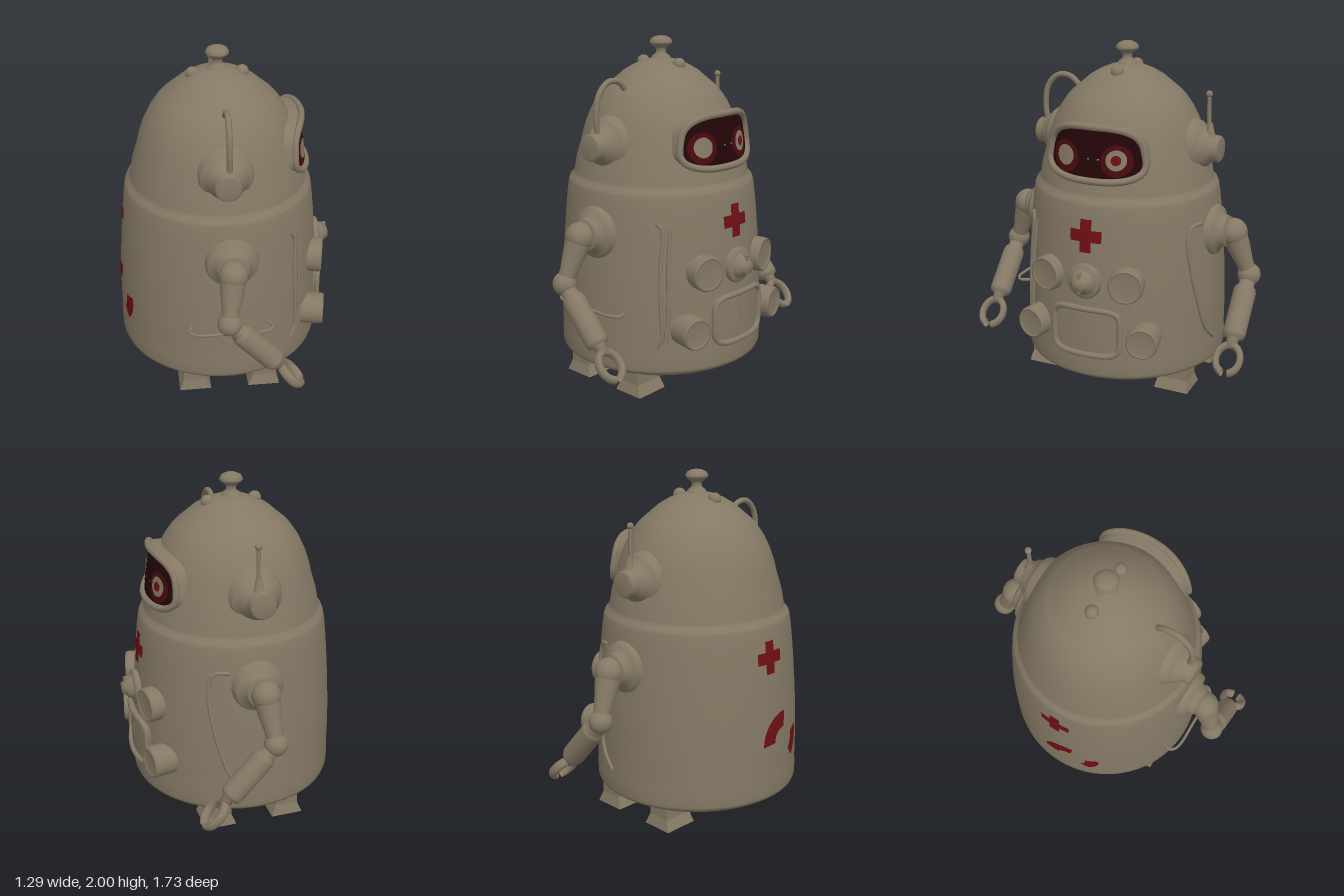
import * as THREE from 'three';

const mat = (name, color, side = THREE.FrontSide) => {
  const m = new THREE.MeshStandardMaterial({ color, side });
  m.name = name;
  return m;
};
const V3 = (x, y, z) => new THREE.Vector3(x, y, z);
const CX = -0.04; // axis of the round body

// Body profile as [radius, height], bottom to top
const BODY = [[0, .05], [.33, .052], [.46, .08], [.56, .125], [.6, .15], [.608, .17], [.605, .2], [.61, .225], [.606, .25],
  [.606, .4], [.603, .55], [.594, .72], [.584, .85], [.573, .98], [.56, 1.1], [.55, 1.165], [.542, 1.185], [.522, 1.205],
  [.515, 1.225], [.5, 1.31], [.472, 1.4], [.455, 1.47], [.427, 1.55], [.39, 1.625], [.348, 1.685], [.32, 1.715],
  [.27, 1.757], [.22, 1.8], [.16, 1.835], [.1, 1.86], [.05, 1.872], [0, 1.875]];

const bodyRadius = y => {
  for (let i = 1; i < BODY.length; i++) {
    const [r0, y0] = BODY[i - 1], [r1, y1] = BODY[i];
    if (y <= y1) return r0 + (r1 - r0) * (y - y0) / (y1 - y0);
  }
  return 0;
};
const visorRadius = y => .51 - .13 * (y - 1.3);

// Point on the curved front (or back) surface: u to the viewer's right, v up, w outwards
const onSurface = (u, v, w, radius, back = false) => {
  const r = radius(v) + w, d = Math.sqrt(r * r - u * u);
  return back ? V3(CX - d, v, u) : V3(CX + d, v, -u);
};
const remap = (geo, rule) => {
  const p = geo.attributes.position;
  for (let i = 0; i < p.count; i++) {
    const q = rule(p.getX(i), p.getY(i), p.getZ(i));
    p.setXYZ(i, q.x, q.y, q.z);
  }
  geo.computeVertexNormals();
  return geo;
};

export function createModel() {
  const root = new THREE.Group();
  root.name = 'robot';
  const shell = mat('shell taupe', 0x857965, THREE.DoubleSide);
  const red = mat('marking red', 0x6e0f14);
  const dark = mat('visor dark', 0x240508);
  const glow = mat('visor glow red', 0x480a0e);

  const add = (name, geo, material = shell) => {
    const m = new THREE.Mesh(geo, material);
    m.name = name;
    root.add(m);
    return m;
  };
  // Turned part standing at pos, its axis along dir
  const turned = (name, profile, pos, dir, seg = 32) => {
    const m = add(name, new THREE.LatheGeometry(profile.map(p => new THREE.Vector2(...p)), seg));
    m.position.copy(pos);
    m.quaternion.setFromUnitVectors(V3(0, 1, 0), dir.clone().normalize());
    return m;
  };
  const tube = (name, pts, r, closed = false, seg = 48) =>
    add(name, new THREE.TubeGeometry(new THREE.CatmullRomCurve3(pts, closed), seg, r, 10, closed));
  const ball = (name, pos, r, sy = 1) => {
    const m = add(name, new THREE.SphereGeometry(r, 24, 16));
    m.position.copy(pos);
    m.scale.y = sy;
    return m;
  };
  const decal = (name, geo, u, v, w, radius, material, back) =>
    add(name, remap(geo, (x, y) => onSurface(u + x, v + y, w, radius, back)), material);

  add('body', new THREE.LatheGeometry(BODY.map(p => new THREE.Vector2(...p)), 72)).position.x = CX;

  // Top knob and two bumps
  turned('topKnob', [[.06, 0], [.05, .02], [.03, .035], [.028, .06], [.04, .07], [.062, .088], [.067, .1],
    [.055, .12], [.03, .132], [0, .135]], V3(CX, 1.865, 0), V3(0, 1, 0));
  for (const s of [-1, 1]) ball('topBump', V3(CX + s * .14, 1.842, 0), .038);

  // Rounded panel with rim and side wall, wrapped on the front
  const panel = (name, cu, cv, hw, hh, n, taper, radius, material, rim, depth) => {
    const outline = (a, k = 1) => {
      const c = Math.cos(a), s = Math.sin(a);
      const y = Math.sign(s) * Math.abs(s) ** (2 / n) * k;
      return [cu + hw * Math.sign(c) * Math.abs(c) ** (2 / n) * k * (1 - taper * y), cv + hh * y];
    };
    add(name, remap(new THREE.RingGeometry(.001, 1, 72, 10), (x, y) =>
      onSurface(...outline(Math.atan2(y, x), Math.hypot(x, y)), 0, radius)), material);
    add(name + 'Wall', remap(new THREE.CylinderGeometry(1, 1, 1, 72, 1, true), (x, y, z) =>
      onSurface(...outline(Math.atan2(z, x), 1.05), (y - .5) * depth, radius)));
    const pts = [];
    for (let i = 0; i < 48; i++) pts.push(onSurface(...outline(i / 48 * Math.PI * 2, 1.02), .006, radius));
    tube(name + 'Rim', pts, rim, true, 120);
  };
  panel('visor', 0, 1.45, .28, .145, 3.2, .1, visorRadius, dark, .02, .12);
  panel('screen', .01, .44, .2, .138, 5, 0, y => bodyRadius(y) + .014, shell, .017, .05);
  tube('screenLine', [onSurface(.01, .4, .015, bodyRadius), onSurface(.01, .49, .015, bodyRadius)], .003, false, 4);

  // Eyes on the visor
  const disc = r => new THREE.RingGeometry(.0005, r, 32, 4);
  for (const u of [-.165, .145]) {
    decal('eyeGlow', disc(.088), u, 1.42, .003, visorRadius, glow);
    decal('eye', disc(.057), u, 1.425, .006, visorRadius, shell);
  }
  decal('pupil', disc(.028), .145, 1.425, .009, visorRadius, red);
  for (const u of [-.045, .015]) decal('visorDot', new THREE.PlaneGeometry(.014, .008), u + .03, 1.425, .005, visorRadius, shell);

  // Crosses on chest and back
  for (const back of [false, true]) {
    decal('crossUpright', new THREE.PlaneGeometry(.068, .19, 4, 8), 0, 1, .004, bodyRadius, red, back);
    for (const s of [-1, 1])
      decal('crossArm', new THREE.PlaneGeometry(.061, .068, 4, 4), s * .0645, 1, .004, bodyRadius, red, back);
  }
  // Curved emblem pieces on the back
  decal('emblemUpper', new THREE.RingGeometry(.075, .17, 20, 3, 1.45, 1.75), .1, .49, .004, bodyRadius, red, true);
  decal('emblemSide', new THREE.RingGeometry(.1, .18, 20, 3, -.85, 1.1), .1, .48, .004, bodyRadius, red, true);

  // Round dials on the front
  const dial = r => [[r, -.13], [r, -.01], [r - .006, .006], [r - .016, .006], [r - .02, -.004], [0, -.004]];
  for (const s of [-1, 1]) {
    turned('upperDial', dial(.102), V3(.555, .74, s * .25), V3(1, 0, s * .25));
    turned('lowerDial', dial(.094), V3(.56, .415, s * .35), V3(1, 0, s * .22));
  }
  turned('centreKnob', [[.104, -.06], [.104, .03], [.094, .042], [.078, .042], [.07, .05], [.06, .075], [.04, .085],
    [.035, .105], [0, .108]], V3(.535, .74, 0), V3(1, 0, 0));
  add('knobPointer', new THREE.BoxGeometry(.03, .12, .018)).position.set(.615, .75, 0);

  // Ears, shoulders, arms and feet on both sides
  for (const s of [-1, 1]) {
    const out = V3(0, 0, s);
    turned('ear', [[.175, -.08], [.15, -.005], [.138, .01], [.115, .02], [.105, .05], [.085, .065], [.078, .085],
      [.076, .115], [.065, .125], [0, .127]], V3(CX, 1.42, s * .46), out);
    turned('shoulder', [[.16, -.04], [.147, .03], [.135, .05], [.1, .058], [.094, .09], [.085, .105], [0, .108]],
      V3(-.02, .94, s * .55), out);

    const shoulder = V3(-.025, .94, s * .68), elbow = V3(-.055, .68, s * .775), wrist = V3(.215, .385, s * .775);
    ball('shoulderJoint', shoulder, .082);
    const upper = elbow.clone().sub(shoulder);
    turned('upperArm', [[.076, 0], [.066, .1], [.05, .2], [.05, upper.length()]], shoulder, upper);
    ball('elbow', elbow, .068);
    const lower = wrist.clone().sub(elbow), L = lower.length();
    turned('forearm', [[.045, 0], [.046, .075], [.06, .09], [.066, .11], [.066, L - .03], [.058, L - .005],
      [.035, L], [.033, L + .05], [0, L + .055]], elbow, lower);

    // Pincer with a narrow gap at the tip
    const d = lower.clone().normalize();
    const claw = add('claw', new THREE.TorusGeometry(.07, .019, 10, 40, Math.PI * 1.84)
      .rotateZ(Math.PI * .58).scale(1, 1.2, 1.5));
    claw.quaternion.setFromRotationMatrix(new THREE.Matrix4().makeBasis(V3(0, 0, 1), d, V3(0, 0, 1).cross(d)));
    claw.position.copy(wrist).addScaledVector(d, .125);

    // Flared feet
    for (const x of [-.232, .185]) {
      const foot = remap(new THREE.BoxGeometry(.19, .14, .21, 1, 2, 1).toNonIndexed(), (a, b, c) => {
        const k = b > -.01 ? .72 : 1;
        return V3(a * k, b === 0 ? -.005 : b, c * (b > -.01 ? .86 : 1));
      });
      add('foot', foot).position.set(x, .07, s * .422);
    }
  }

  // Antenna on one ear, hose from the other to the dome
  tube('antenna', [V3(-.03, 1.46, -.525), V3(-.03, 1.55, -.512), V3(-.03, 1.73, -.507)], .012, false, 12);
  turned('antennaBase', [[.04, 0], [.025, .03], [.013, .09]], V3(-.03, 1.48, -.52), V3(0, 1, .03), 16);
  ball('antennaTip', V3(-.03, 1.735, -.507), .019);
  tube('hose', [V3(-.03, 1.45, .52), V3(-.03, 1.6, .535), V3(-.03, 1.71, .51), V3(-.03, 1.772, .44),
    V3(-.03, 1.765, .36), V3(-.03, 1.7, .29)], .017);

  // Side handle and raised door seams
  tube('sideHandle', [V3(-.24, .51, .55), V3(-.268, .51, .61), V3(-.23, .51, .645), V3(-.02, .51, .65),
    V3(.18, .51, .645), V3(.216, .51, .61), V3(.19, .51, .55)], .009);
  const seam = (list, s) => tube('doorSeam', list.map(([x, y]) => {
    const r = bodyRadius(y) + .004;
    return V3(x, y, s * Math.sqrt(r * r - (x - CX) ** 2));
  }), .012);
  seam([[.33, 1.03], [.355, .99], [.36, .8], [.37, .55], [.375, .38], [.35, .31]], 1);
  seam([[.385, 1.0], [.39, .8], [.4, .5], [.39, .34]], 1);
  seam([[.14, 1.03], [.22, 1.02], [.25, .95], [.24, .75], [.2, .55], [.14, .38], [.06, .3]], -1);

  return root;
}
